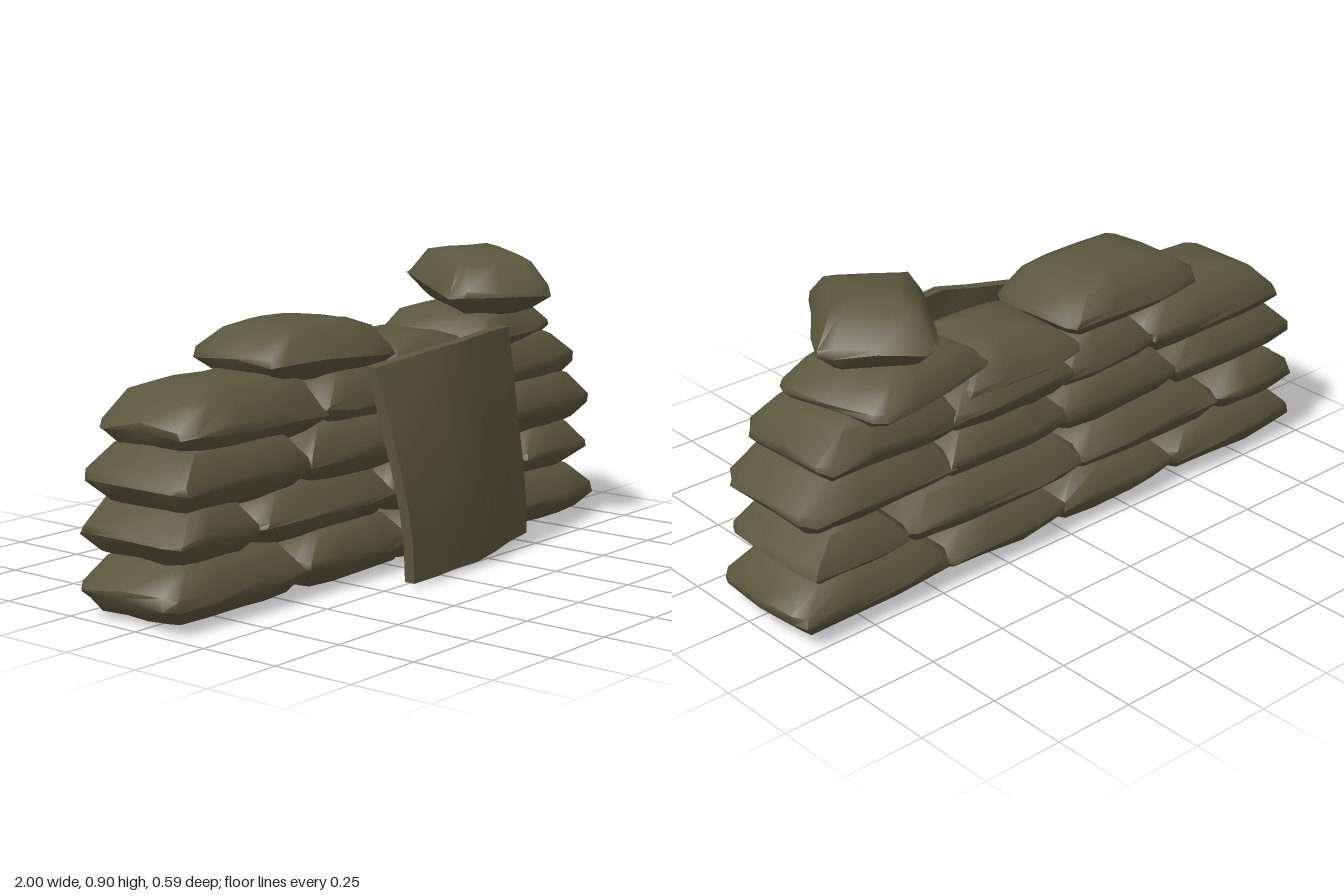
import * as THREE from 'three';
import { toCreasedNormals } from 'three/addons/utils/BufferGeometryUtils.js';

// Small seeded generator, -1..1
function seeded(seed) {
  let s = seed * 7919 + 17;
  return () => {
    s = (s * 16807) % 2147483647;
    return (s / 2147483647) * 2 - 1;
  };
}

// Plan outline of a bag: a rectangle with chamfered corners, unit size
const OUTLINE = [
  [1, 0], [0.99, 0.75], [0.9, 0.96], [0.4, 1], [-0.35, 1], [-0.9, 0.96], [-0.99, 0.75],
  [-1, 0], [-0.99, -0.75], [-0.9, -0.96], [-0.4, -1], [0.35, -1], [0.9, -0.96], [0.99, -0.75],
];
// Height fraction, inset at the ends, inset at the long sides
const LEVELS = [
  [-1, 0.1, 0.085], [-0.76, 0.045, 0.045], [-0.24, 0, 0], [0, 0.005, 0.005],
  [0.76, 0.08, 0.042], [1, 0.15, 0.09],
];

// Filled bag: stacked plan outlines, pinched to a seam below mid height
function bagGeometry(length, height, width, seed) {
  const rnd = seeded(seed);
  const hx = length / 2, hy = height / 2, hz = width / 2, n = OUTLINE.length;
  const pos = [], idx = [];
  for (const [t, ix, iz] of LEVELS) {
    for (const [ox, oz] of OUTLINE) {
      pos.push(
        ox * (hx - ix) + rnd() * 0.008,
        t * hy + rnd() * 0.01 * (1 - Math.abs(t) * 0.7),
        oz * (hz - iz) + rnd() * 0.006,
      );
    }
  }
  for (let l = 0; l < LEVELS.length - 1; l++) {
    for (let j = 0; j < n; j++) {
      const a = l * n + j, b = l * n + (j + 1) % n;
      idx.push(a, a + n, b, b, a + n, b + n);
    }
  }
  // Slightly domed caps
  const low = pos.length / 3, high = low + 1, top = (LEVELS.length - 1) * n;
  pos.push(0, -hy, 0, rnd() * 0.04, hy + 0.005, 0);
  for (let j = 0; j < n; j++) {
    const k = (j + 1) % n;
    idx.push(low, j, k, high, top + k, top + j);
  }
  const g = new THREE.BufferGeometry();
  g.setAttribute('position', new THREE.Float32BufferAttribute(pos, 3));
  g.setIndex(idx);
  return toCreasedNormals(g, 1.0);
}

// Value along three stations a, b, c for u in 0..1
const along = (u, a, b, c) =>
  u < 0.5 ? THREE.MathUtils.lerp(a, b, u * 2) : THREE.MathUtils.lerp(b, c, u * 2 - 1);

// Leaning folded sheet: a thin box bent by a rule
function sheetGeometry() {
  const g = new THREE.BoxGeometry(1, 1, 1, 6, 6, 1);
  const p = g.attributes.position;
  for (let i = 0; i < p.count; i++) {
    const u = p.getX(i) + 0.5, v = p.getY(i) + 0.5, d = p.getZ(i);
    const lean = v * v;
    const z = THREE.MathUtils.lerp(along(u, 0.28, 0.275, 0.23), along(u, 0.16, 0.222, 0.178), lean);
    const y = THREE.MathUtils.lerp(along(u, 0.015, 0.02, 0.045), along(u, 0.635, 0.677, 0.687), v);
    const ripple = 0.004 * Math.sin(u * 13 + v * 7);
    p.setXYZ(i, THREE.MathUtils.lerp(-0.17, 0.452, u) - 0.038 * v, y, z + d * 0.035 + ripple);
  }
  return toCreasedNormals(g, 0.5);
}

export function createModel() {
  const model = new THREE.Group();
  const olive = new THREE.MeshStandardMaterial({ color: 0x59573c });
  olive.name = 'olive canvas';

  // Each course: bottom, top, z centre, width, then the x span of each bag
  const courses = [
    [0.005, 0.192, -0.05, 0.392, [[-1, -0.43], [-0.46, 0.04], [-0.01, 0.48], [0.44, 1]]],
    [0.16, 0.345, -0.062, 0.405, [[-0.97, -0.62], [-0.64, -0.02], [-0.07, 0.63], [0.61, 0.965]]],
    [0.305, 0.502, -0.047, 0.405, [[-0.97, -0.42], [-0.46, 0.05], [-0.01, 0.48], [0.41, 0.965]]],
    [0.445, 0.638, -0.058, 0.385, [[-0.91, -0.32], [-0.36, 0.03], [-0.04, 0.47], [0.39, 0.9]]],
  ];
  let seed = 1;
  const addBag = (name, x0, x1, y0, y1, z, width) => {
    const bag = new THREE.Mesh(bagGeometry(x1 - x0, y1 - y0, width, seed++), olive);
    bag.name = name;
    bag.position.set((x0 + x1) / 2, (y0 + y1) / 2, z);
    model.add(bag);
    return bag;
  };
  courses.forEach(([y0, y1, z, width, spans], c) => {
    spans.forEach(([x0, x1], b) => addBag(`course${c + 1}Bag${b + 1}`, x0, x1, y0, y1, z, width));
  });

  // Loose bags on top of the wall
  addBag('upperRightBag', -0.54, -0.01, 0.6, 0.765, -0.058, 0.37).rotation.z = -0.03;
  addBag('upperMiddleBag', -0.07, 0.4, 0.52, 0.68, -0.055, 0.375);
  addBag('upperLeftBag', 0.29, 0.79, 0.58, 0.73, -0.06, 0.4).rotation.y = 0.2;
  const crown = addBag('crownBag', 0.31, 0.79, 0.715, 0.897, -0.02, 0.335);
  crown.rotation.set(0, 0.97, 0.06);

  // Sheet leaning against the front
  const sheet = new THREE.Mesh(sheetGeometry(), olive);
  sheet.name = 'leaningSheet';
  model.add(sheet);

  return model;
}
